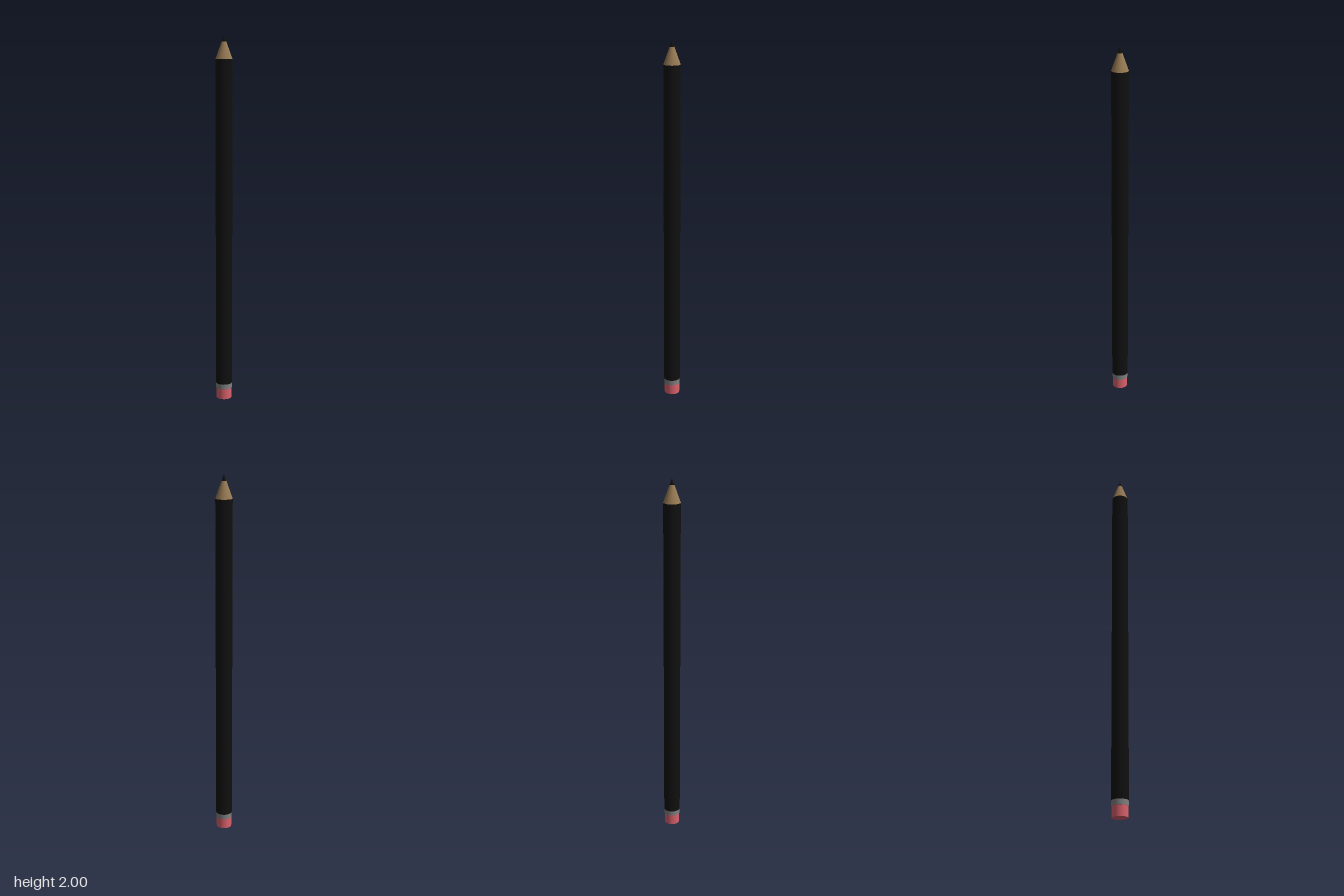
import * as THREE from 'three';

const SEGMENTS = 48;

export function createModel() {
  const group = new THREE.Group();

  // Adds one round section between two heights
  function addSection(name, color, y0, y1, r0, r1) {
    const geometry = new THREE.CylinderGeometry(r1, r0, y1 - y0, SEGMENTS);
    const mesh = new THREE.Mesh(geometry, new THREE.MeshStandardMaterial({ color }));
    mesh.name = name;
    mesh.position.y = (y0 + y1) / 2;
    group.add(mesh);
  }

  // Eraser end and its metal band
  addSection('eraser', 0xd9606b, 0, 0.06, 0.042, 0.042);
  addSection('ferrule', 0x808080, 0.058, 0.087, 0.044, 0.044);

  // Painted shaft
  addSection('shaft', 0x101010, 0.087, 1.875, 0.045, 0.045);

  // Sharpened wood and lead, continuing one cone
  addSection('sharpenedWood', 0x957852, 1.875, 1.966, 0.045, 0.0122);
  addSection('leadTip', 0x101010, 1.966, 2, 0.0122, 0);

  return group;
}
